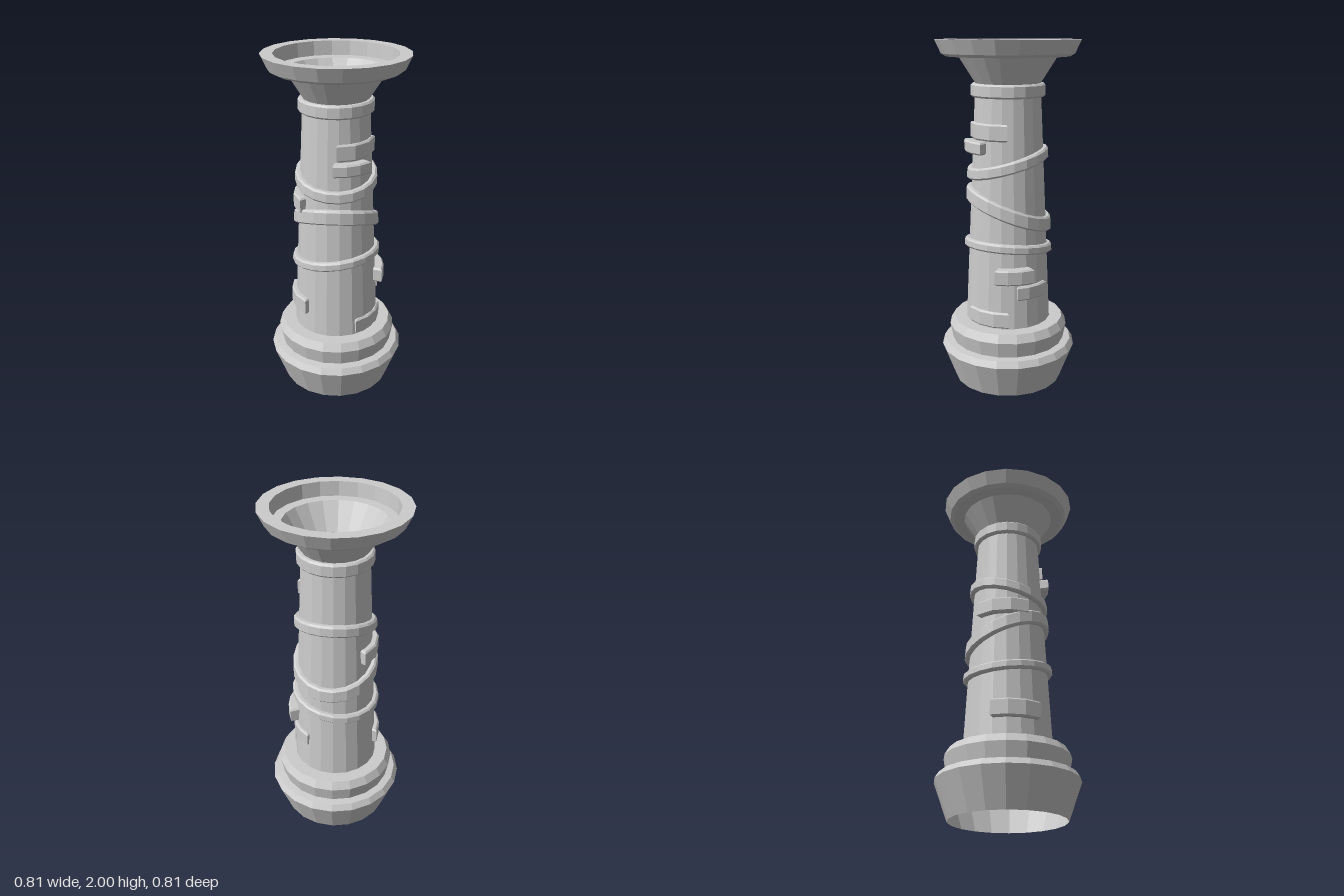
import * as THREE from 'three';

const SIDES = 20;
const material = new THREE.MeshStandardMaterial({
  color: 0xcccccc, flatShading: true, side: THREE.DoubleSide,
});

// Radius of the tapering shaft at height y
const shaftRadius = (y) => THREE.MathUtils.mapLinear(y, 0.385, 1.77, 0.25, 0.184);

function addMesh(group, name, geometry) {
  const mesh = new THREE.Mesh(geometry, material);
  mesh.name = name;
  group.add(mesh);
}

function lathe(points) {
  return new THREE.LatheGeometry(points.map(([r, y]) => new THREE.Vector2(r, y)), SIDES);
}

// Closed bevelled band profile between two radii, of height h about y
function bandProfile(inner, outer, y, h, bevel = 0.01) {
  const a = y - h / 2, b = y + h / 2;
  return [[inner, a], [outer - bevel, a], [outer, a + bevel],
    [outer, b - bevel], [outer - bevel, b], [inner, b], [inner, a]];
}

// Band hugging the shaft, tilted towards +x by tiltX and +z by tiltZ
function tiltedBand(y, h, tiltX, tiltZ) {
  const geometry = lathe(bandProfile(1 - 0.015, 1 + 0.028, y, h));
  const pos = geometry.attributes.position;
  for (let i = 0; i < pos.count; i++) {
    const x = pos.getX(i), z = pos.getZ(i);
    const len = Math.hypot(x, z);
    const newY = pos.getY(i) + tiltX * x / len + tiltZ * z / len;
    const r = shaftRadius(newY) + len - 1;
    pos.setXYZ(i, r * x / len, newY, r * z / len);
  }
  geometry.computeVertexNormals();
  return geometry;
}

// Bent brick: an arc from angle a to b (degrees from +z towards +x)
function brick(a, b, inner, outer, y0, y1) {
  const bevel = 0.009, steps = 3;
  const ring = (r, t) => {
    const angle = THREE.MathUtils.degToRad(THREE.MathUtils.lerp(a, b, t));
    return new THREE.Vector2(r * Math.sin(angle), -r * Math.cos(angle));
  };
  const points = [];
  for (let i = 0; i <= steps; i++) points.push(ring(outer, i / steps));
  for (let i = steps; i >= 0; i--) points.push(ring(inner, i / steps));
  const geometry = new THREE.ExtrudeGeometry(new THREE.Shape(points), {
    depth: y1 - y0 - 2 * bevel, bevelEnabled: true, bevelSegments: 1,
    bevelSize: bevel, bevelThickness: bevel, bevelOffset: -bevel,
  });
  geometry.rotateX(-Math.PI / 2);
  geometry.translate(0, y0 + bevel, 0);
  return geometry;
}

export function createModel() {
  const model = new THREE.Group();
  model.name = 'hollowColumn';

  // Flared foot and the step above it
  addMesh(model, 'base', lathe([
    [0.322, 0], [0.4, 0.21], [0.378, 0.245], [0.335, 0.25],
    [0.352, 0.34], [0.325, 0.385], [0.25, 0.385],
  ]));

  // Open tapering shaft
  addMesh(model, 'shaft', lathe([[0.25, 0.385], [0.184, 1.77]]));

  addMesh(model, 'collar', lathe(bandProfile(0.18, 0.21, 1.728, 0.075)));

  // Funnel neck and recessed bowl rim
  addMesh(model, 'neck', lathe([[0.184, 1.765], [0.279, 1.915]]));
  addMesh(model, 'rim', lathe([
    [0.279, 1.91], [0.345, 1.91], [0.37, 1.925], [0.405, 2],
    [0.337, 2], [0.33, 1.92], [0.279, 1.92],
  ]));

  // Tilted bands: height, thickness, tilt to x, tilt to z
  [
    ['lowerBand', 0.83, 0.052, 0.035, 0.012],
    ['middleBand', 1.055, 0.085, 0.015, 0.09],
    ['upperBand', 1.32, 0.066, -0.015, -0.058],
  ].forEach(([name, ...args]) => addMesh(model, name, tiltedBand(...args)));

  // Protruding bricks: start and end angle, inner and outer radius, bottom and top
  const bricks = new THREE.Group();
  bricks.name = 'bricks';
  [
    [14, 99, 0.122, 0.213, 1.46, 1.555],
    [9, 62, 0.16, 0.25, 1.385, 1.455],
    [243, 319, 0.157, 0.247, 1.13, 1.222],
    [84, 131, 0.19, 0.285, 0.66, 0.75],
    [112, 160, 0.17, 0.255, 0.555, 0.64],
    [269, 331, 0.185, 0.27, 0.5, 0.6],
    [40, 101, 0.18, 0.261, 0.39, 0.485],
  ].forEach((args, i) => addMesh(bricks, `brick${i + 1}`, brick(...args)));
  model.add(bricks);

  return model;
}
